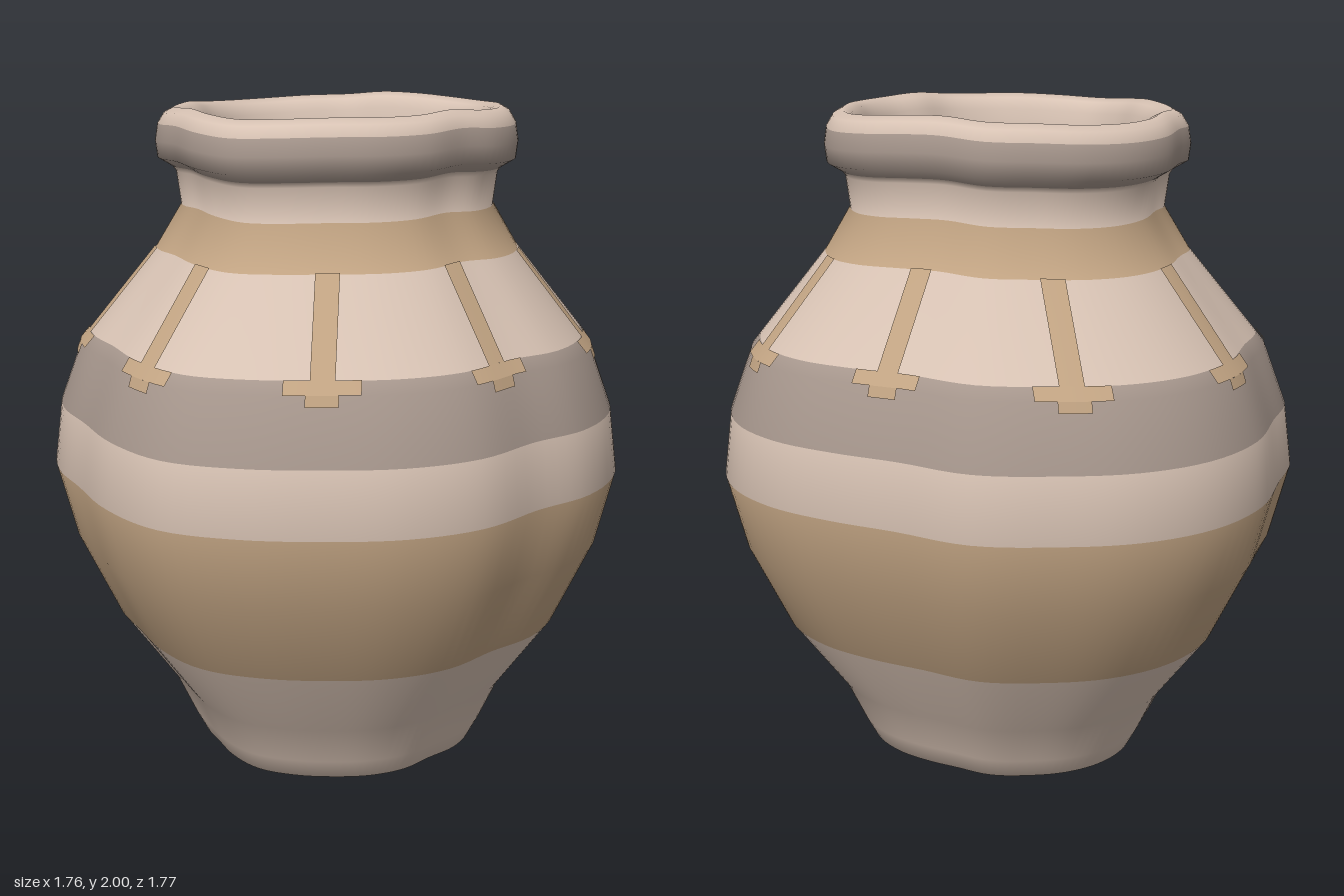
import * as THREE from 'three';

// Uneven hand-thrown outline: radius every 15 degrees from +x towards +z
const OUTLINE = [
  0.868, 0.851, 0.861, 0.853, 0.825, 0.859, 0.87, 0.87, 0.888, 0.906, 0.88, 0.852,
  0.873, 0.886, 0.87, 0.903, 0.917, 0.906, 0.88, 0.866, 0.823, 0.832, 0.862, 0.88,
];
const SEGMENTS = 120;

// Pot profile [radius, height, colour of the band above this ring]
const PROFILE = [
  [0.002, 0, 'clay'], [0.2, 0, 'clay'], [0.41, 0, 'clay'], [0.44, 0.003, 'clay'],
  [0.475, 0.07, 'clay'], [0.535, 0.2, 'clay'], [0.705, 0.435, 'tan'], [0.825, 0.69, 'tan'],
  [0.88, 0.91, 'clay'], [0.855, 1.1, 'grey'], [0.786, 1.285, 'grey'], [0.757, 1.32, 'clay'],
  [0.553, 1.57, 'tan'], [0.475, 1.7, 'clay'], [0.488, 1.8, 'clay'],
  // rolled rim
  [0.5, 1.815, 'grey'], [0.542, 1.84, 'grey'], [0.548, 1.89, 'grey'], [0.54, 1.94, 'clay'],
  [0.52, 1.972, 'clay'], [0.49, 1.988, 'clay'], [0.462, 1.975, 'clay'], [0.442, 1.94, 'clay'],
  [0.432, 1.88, 'clay'],
  // inside wall and floor
  [0.42, 1.8, 'clay'], [0.415, 1.7, 'clay'], [0.5, 1.55, 'clay'], [0.72, 1.28, 'clay'],
  [0.82, 0.91, 'clay'], [0.65, 0.44, 'clay'], [0.47, 0.18, 'clay'], [0.36, 0.08, 'clay'],
  [0.002, 0.06, 'clay'],
];

// Periodic Catmull-Rom through the outline
function outlineAt(theta) {
  const n = OUTLINE.length;
  const t = ((theta / (Math.PI * 2)) * n % n + n) % n;
  const i = Math.floor(t), f = t - i;
  const [a, b, c, d] = [-1, 0, 1, 2].map((k) => OUTLINE[(i + k + n) % n]);
  return b + 0.5 * f * (c - a + f * (2 * a - 5 * b + 4 * c - d + f * (3 * (b - c) + d - a)));
}

// Point on the pot: wider parts of the outline also sag a little
function potPoint(radius, y, theta, lift = 0) {
  const w = outlineAt(theta);
  const r = (radius * w) / 0.875 + lift;
  return [r * Math.cos(theta), y - (w / 0.867 - 1) * 0.11 * y + lift * 0.5, r * Math.sin(theta)];
}

// Outer wall radius at a height
function wallRadius(y) {
  const i = PROFILE.findIndex((p, k) => k > 3 && p[1] >= y);
  const [r0, y0] = PROFILE[i - 1], [r1, y1] = PROFILE[i];
  return r0 + ((r1 - r0) * (y - y0)) / (y1 - y0);
}

// Two outward triangles for a grid cell
const cell = (a, b, c, d) => [a, c, b, b, c, d];

function buildPot(materials) {
  const names = Object.keys(materials);
  const pos = [], index = [];
  const geo = new THREE.BufferGeometry();
  PROFILE.forEach(([r, y, colour], i) => {
    for (let j = 0; j < SEGMENTS; j++) pos.push(...potPoint(r, y, (j / SEGMENTS) * Math.PI * 2));
    if (i === PROFILE.length - 1) return;
    geo.addGroup(index.length, SEGMENTS * 6, names.indexOf(colour));
    for (let j = 0; j < SEGMENTS; j++) {
      const a = i * SEGMENTS + j, b = i * SEGMENTS + ((j + 1) % SEGMENTS);
      index.push(...cell(a, b, a + SEGMENTS, b + SEGMENTS));
    }
  });
  geo.setAttribute('position', new THREE.Float32BufferAttribute(pos, 3));
  geo.setIndex(index);
  geo.computeVertexNormals();
  const pot = new THREE.Mesh(geo, Object.values(materials));
  pot.name = 'pot';
  return pot;
}

// Painted patch that hugs the wall
function paintedPatch(name, theta, y0, y1, width, lift, material) {
  const rows = 6, cols = 6, pos = [], index = [];
  for (let i = 0; i <= rows; i++) {
    const y = y0 + ((y1 - y0) * i) / rows, r = wallRadius(y);
    for (let j = 0; j <= cols; j++) {
      pos.push(...potPoint(r, y, theta + ((j / cols - 0.5) * width) / r, lift));
      if (i === rows || j === cols) continue;
      const a = i * (cols + 1) + j;
      index.push(...cell(a, a + 1, a + cols + 1, a + cols + 2));
    }
  }
  const geo = new THREE.BufferGeometry();
  geo.setAttribute('position', new THREE.Float32BufferAttribute(pos, 3));
  geo.setIndex(index);
  geo.computeVertexNormals();
  const mesh = new THREE.Mesh(geo, material);
  mesh.name = name;
  return mesh;
}

export function createModel() {
  const material = (name, color) => {
    const m = new THREE.MeshStandardMaterial({ color });
    m.name = name;
    return m;
  };
  const materials = {
    clay: material('pale clay', 0xd8c3b4),
    tan: material('tan paint', 0xc2a483),
    grey: material('grey paint', 0xa8988e),
  };

  const model = new THREE.Group();
  model.name = 'clayPot';
  model.add(buildPot(materials));

  // Nine painted strokes down the shoulder, each ending in a stepped foot
  for (let k = 0; k < 9; k++) {
    const theta = THREE.MathUtils.degToRad(25.5 + k * 40);
    const stroke = new THREE.Group();
    stroke.name = 'shoulderStroke';
    stroke.add(
      paintedPatch('strokeStem', theta, 1.32, 1.572, 0.068, 0.004, materials.tan),
      paintedPatch('strokeBar', theta, 1.285, 1.32, 0.21, 0.004, materials.tan),
      paintedPatch('strokeFoot', theta, 1.255, 1.285, 0.09, 0.004, materials.tan),
    );
    model.add(stroke);
  }
  return model;
}
